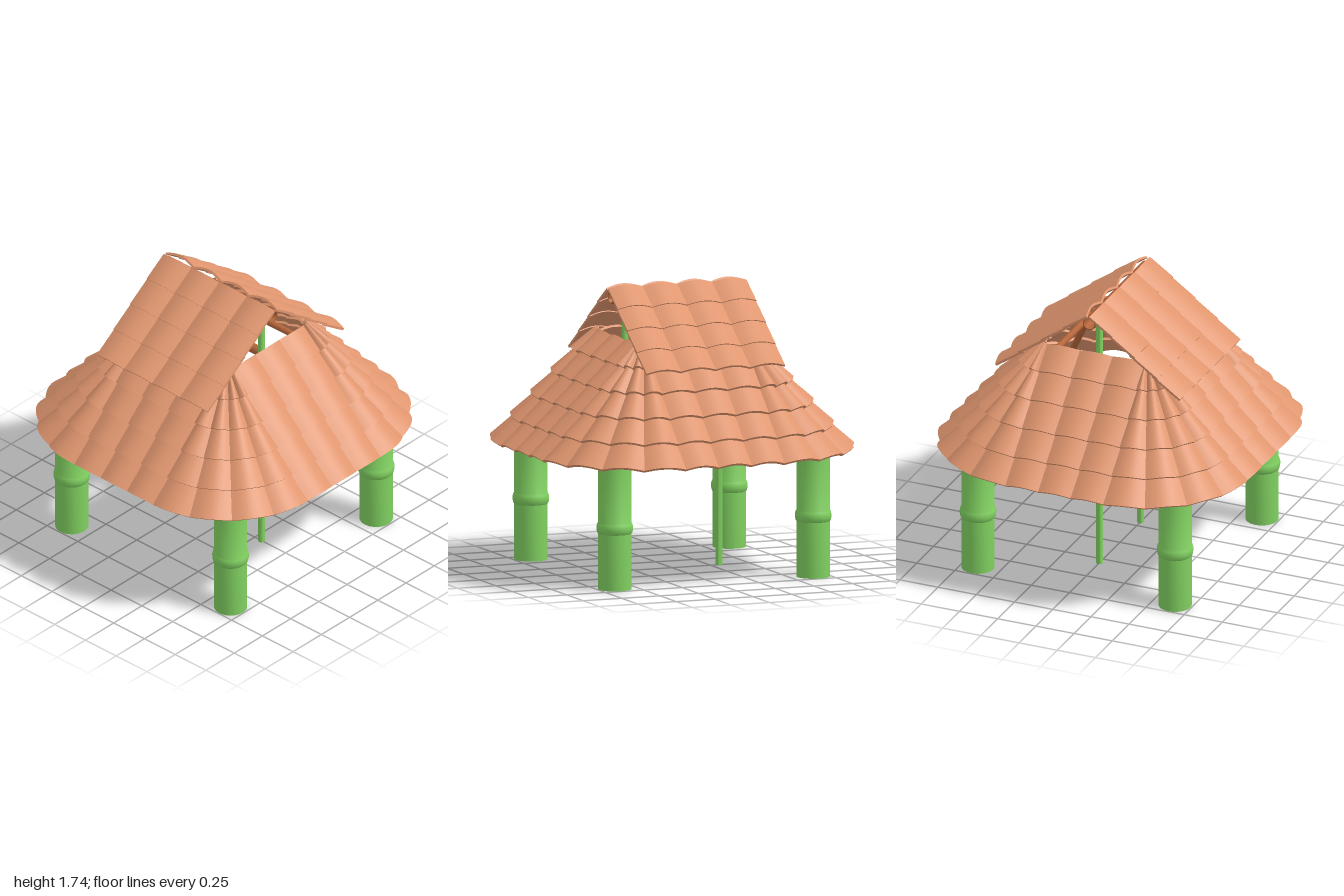
import * as THREE from 'three';
import { toCreasedNormals } from 'three/addons/utils/BufferGeometryUtils.js';

const green = new THREE.MeshStandardMaterial({ color: 0x80d060 });
const wood = new THREE.MeshStandardMaterial({ color: 0xb5653a });
const clay = new THREE.MeshStandardMaterial({ color: 0xe0966f });

const STEPS = 8; // segments across one curved tile

function mesh(name, geometry, material) {
  const m = new THREE.Mesh(geometry, material);
  m.name = name;
  return m;
}

// Sweeps a four-corner section (outer bottom, outer top, inner top, inner bottom) along a row of tiles
function tileRow(tiles, section, capped) {
  const pos = [];
  const quad = (a, b, c, d) => [a, b, c, a, c, d].forEach((p) => pos.push(...p));
  const rings = [];
  for (let i = 0; i <= tiles * STEPS; i++) {
    rings.push(section(i / STEPS, Math.sin((Math.PI * (i % STEPS)) / STEPS)));
  }
  for (let i = 0; i < rings.length - 1; i++) {
    const a = rings[i], b = rings[i + 1];
    for (let k = 0; k < 4; k++) quad(a[k], b[k], b[(k + 1) % 4], a[(k + 1) % 4]);
  }
  if (capped) {
    quad(...rings[0]);
    quad(...rings[rings.length - 1].slice().reverse());
  }
  const g = new THREE.BufferGeometry();
  g.setAttribute('position', new THREE.Float32BufferAttribute(pos, 3));
  return toCreasedNormals(g, 0.6);
}

// Bamboo stalk with a swollen node at half height
function bamboo(name, r, h, x, z) {
  const m = h / 2, s = r * 0.35;
  const profile = [
    [0, 0], [r, 0], [r, m - s], [r * 1.06, m - s * 0.8], [r * 1.1, m - s * 0.2],
    [r * 1.1, m + s * 0.2], [r * 1.06, m + s * 0.7], [r, m + s], [r, h], [0, h],
  ].map(([a, b]) => new THREE.Vector2(a, b));
  const stalk = mesh(name, toCreasedNormals(new THREE.LatheGeometry(profile, 28), 0.7), green);
  stalk.position.set(x, 0, z);
  return stalk;
}

// Round beam between two points
function beam(name, from, to, r) {
  const a = new THREE.Vector3(...from), b = new THREE.Vector3(...to);
  const d = b.clone().sub(a);
  const m = mesh(name, new THREE.CylinderGeometry(r, r, d.length(), 14), wood);
  m.position.copy(a).add(b).multiplyScalar(0.5);
  m.quaternion.setFromUnitVectors(new THREE.Vector3(0, 1, 0), d.normalize());
  return m;
}

// Lower hipped roof: five rows of tiles round a square whose corners widen downwards
function lowerRoof() {
  const roof = new THREE.Group();
  roof.name = 'lowerRoof';
  const core = 0.32, rows = 5, flat = 3, corner = 4, perSide = flat + corner;
  const nr = 0.74, ny = 0.67; // outward slope normal

  for (let row = 0; row < rows; row++) {
    const v0 = row / rows, v1 = Math.min(1, (row + 1) / rows + 0.04);
    const section = (u, arch) => {
      const side = Math.floor(u / perSide), w = u - side * perSide;
      const start = (side * Math.PI) / 2;
      // base point slides along the straight part, then pivots at the corner
      const slide = core * (Math.min(w / flat, 1) * 2 - 1);
      const turn = start + (Math.max(0, w - flat) / corner) * (Math.PI / 2);
      const bx = slide * Math.cos(start) + core * Math.sin(start);
      const bz = -slide * Math.sin(start) + core * Math.cos(start);
      const at = (v, off) => {
        const r = 0.64 - 0.61 * v + nr * off;
        return [bx + r * Math.sin(turn), 0.735 + 0.68 * v + ny * off, bz + r * Math.cos(turn)];
      };
      const low = 0.024 + 0.03 * arch, high = 0.002 + 0.024 * arch;
      return [at(v0, low), at(v1, high), at(v1, high - 0.016), at(v0, low - 0.02)];
    };
    roof.add(mesh('lowerTileRow', tileRow(perSide * 4, section, false), clay));
  }
  return roof;
}

// Upper gable roof: two slopes of four tile rows
function upperRoof() {
  const roof = new THREE.Group();
  roof.name = 'upperRoof';
  const rows = 4, tiles = 4, half = 0.45;
  for (const angle of [0, Math.PI]) {
    const slope = new THREE.Group();
    slope.name = angle ? 'backSlope' : 'frontSlope';
    slope.rotation.y = angle;
    for (let row = 0; row < rows; row++) {
      const top = Math.max(0, row / rows - 0.05), bottom = (row + 1) / rows;
      const section = (u, arch) => {
        const x = -half + (2 * half * u) / tiles;
        const at = (t, off) => [x, 1.708 - 0.44 * t + 0.8 * off, 0.004 + 0.59 * t + 0.6 * off];
        const low = 0.02 + 0.026 * arch, high = 0.012 + 0.026 * arch;
        return [at(bottom, low), at(top, high), at(top, high - 0.014), at(bottom, low - 0.014)];
      };
      slope.add(mesh('upperTileRow', tileRow(tiles, section, true), clay));
    }
    roof.add(slope);
  }
  roof.position.x = -0.03;
  return roof;
}

export function createModel() {
  const model = new THREE.Group();
  model.name = 'pavilion';

  // Corner posts with the eave beams, hip rafters and upper ring beams
  const p = 0.645, q = 0.355, eaveY = 0.77, ringY = 1.28;
  const corners = [[1, 1], [1, -1], [-1, -1], [-1, 1]];
  corners.forEach(([x, z], i) => {
    const [nx, nz] = corners[(i + 1) % 4];
    model.add(
      bamboo('cornerPost', 0.1, 0.745, x * p, z * p),
      beam('eaveBeam', [x * p, eaveY, z * p], [nx * p, eaveY, nz * p], 0.03),
      beam('hipRafter', [x * p, eaveY, z * p], [x * q, ringY, z * q], 0.02),
      beam('ringBeam', [x * q, ringY, z * q], [nx * q, ringY, nz * q], 0.02),
    );
    const joint = mesh('ringJoint', new THREE.SphereGeometry(0.028, 14, 10), wood);
    joint.position.set(x * q, ringY, z * q);
    model.add(joint);
  });

  // Slender poles carrying the ridge
  for (const x of [-0.305, 0.305]) model.add(bamboo('ridgePole', 0.02, 1.625, x, 0));

  // Hollow ridge tube
  const L = 0.43, ro = 0.04, ri = 0.034;
  const wall = [[ro, -L], [ro, L], [ri, L], [ri, -L], [ro, -L]].map(([a, b]) => new THREE.Vector2(a, b));
  const ridge = mesh('ridgeTube', toCreasedNormals(new THREE.LatheGeometry(wall, 24), 0.7), wood);
  ridge.rotation.z = Math.PI / 2;
  ridge.position.set(-0.03, 1.66, 0);
  model.add(ridge);

  model.add(lowerRoof(), upperRoof());
  return model;
}
